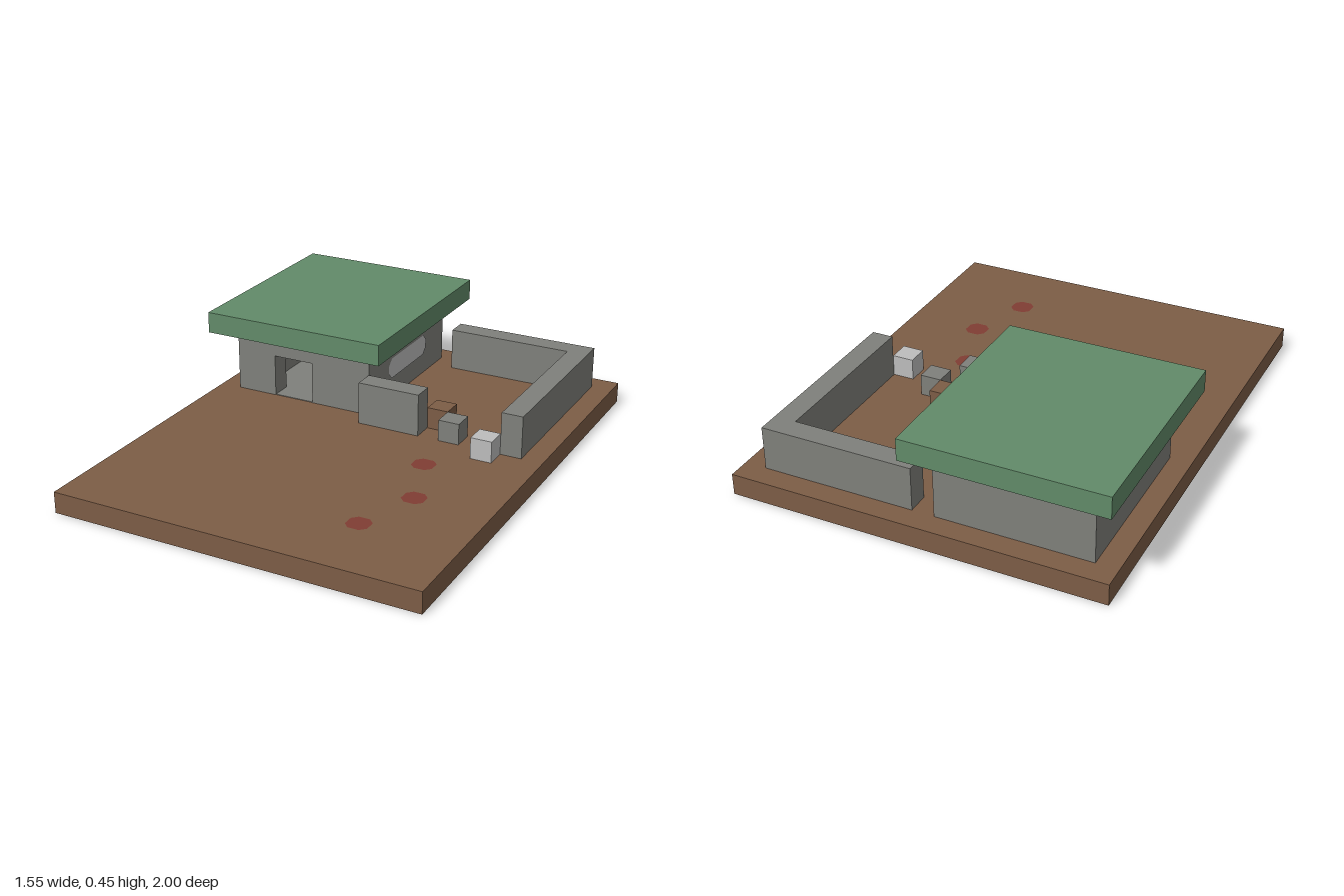
import * as THREE from 'three';

const U = 1 / 11; // one building block

function mat(name, color, side = THREE.FrontSide) {
  const m = new THREE.MeshStandardMaterial({ color, side });
  m.name = name;
  return m;
}

export function createModel() {
  const earth = mat('earthBrown', 0x7d5d46);
  const stone = mat('stoneGrey', 0x7f807b);
  const green = mat('roofGreen', 0x628b69);
  const pale = mat('paleGrey', 0xbdbdbd);
  const red = mat('flowerRed', 0x803d33);
  const model = new THREE.Group();
  model.name = 'houseWithYard';

  // Box given by its limits in blocks
  function block(name, material, [x0, x1], [y0, y1], [z0, z1], parent = model) {
    const g = new THREE.BoxGeometry((x1 - x0) * U, (y1 - y0) * U, (z1 - z0) * U);
    const mesh = new THREE.Mesh(g, material);
    mesh.position.set((x0 + x1) / 2 * U, (y0 + y1) / 2 * U, (z0 + z1) / 2 * U);
    mesh.name = name;
    parent.add(mesh);
    return mesh;
  }

  // Thin plate with clipped corners, w by h blocks, facing +z
  function clippedPlate(name, material, w, h, c = 0.25) {
    const a = w / 2 * U, b = h / 2 * U, k = c * U;
    const s = new THREE.Shape([
      [a - k, -b], [a, -b + k], [a, b - k], [a - k, b],
      [-a + k, b], [-a, b - k], [-a, -b + k], [-a + k, -b],
    ].map(([x, y]) => new THREE.Vector2(x, y)));
    const mesh = new THREE.Mesh(new THREE.ShapeGeometry(s), material);
    mesh.name = name;
    model.add(mesh);
    return mesh;
  }

  // Ground slab
  block('ground', earth, [-8.5, 8.5], [0.02, 1], [-11, 11]);

  // House: floor, walls with a doorway, roof
  const house = new THREE.Group();
  house.name = 'house';
  model.add(house);
  block('floorUnderside', stone, [-7.5, -0.5], [0, 0.1], [-10, -2], house);
  block('floor', stone, [-7.4, -0.6], [0.95, 1.03], [-9.9, -2.02], house);
  block('leftWall', stone, [-1.5, -0.5], [1, 4], [-10, -2], house);
  block('rightWall', stone, [-7.5, -6.5], [1, 4], [-10, -2], house);
  block('backWall', stone, [-6.5, -1.5], [1, 4], [-10, -9], house);
  block('frontWallRight', stone, [-6.5, -5.5], [1, 4], [-3, -2], house);
  block('frontWallLeft', stone, [-3.5, -1.5], [1, 4], [-3, -2], house);
  block('doorLintel', stone, [-5.5, -3.5], [3, 4], [-3, -2], house);
  block('chest', earth, [-4.5, -3.5], [1, 2], [-9, -8], house);
  block('roof', green, [-8.5, 0.5], [4, 5], [-11, -1], house);

  // Side window
  const pane = clippedPlate('sideWindow', pale, 4, 1, 0.3);
  pane.rotation.y = Math.PI / 2;
  pane.position.set(-0.5 * U + 0.003, 2.5 * U, -6 * U);

  // Yard wall
  const yard = new THREE.Group();
  yard.name = 'yardWall';
  model.add(yard);
  block('yardFrontWall', stone, [-0.5, 2.5], [1, 3], [-2, -1], yard);
  block('yardBackWall', stone, [0.5, 6.5], [1, 3], [-10, -9], yard);
  block('yardSideWall', stone, [6.5, 7.5], [1, 3], [-10, -1], yard);
  block('gatePost', stone, [3.5, 4.5], [1, 2], [-2, -1], yard);
  block('gateBlock', earth, [2.5, 3.5], [1, 2], [-3, -2], yard);
  block('paleBlock', pale, [5.5, 6.5], [1, 2], [-1, 0], yard);

  // Red patches on the top and underside of the ground
  for (const [x, z] of [[4, 1.5], [5, 4.5], [4, 7.5]]) {
    const top = clippedPlate('redPatch', red, 1, 1);
    top.rotation.x = -Math.PI / 2;
    top.position.set(x * U, U + 0.002, z * U);
    const under = clippedPlate('redPatchUnderside', red, 1, 1);
    under.rotation.x = Math.PI / 2;
    under.position.set(x * U, 0, z * U);
  }
  return model;
}
